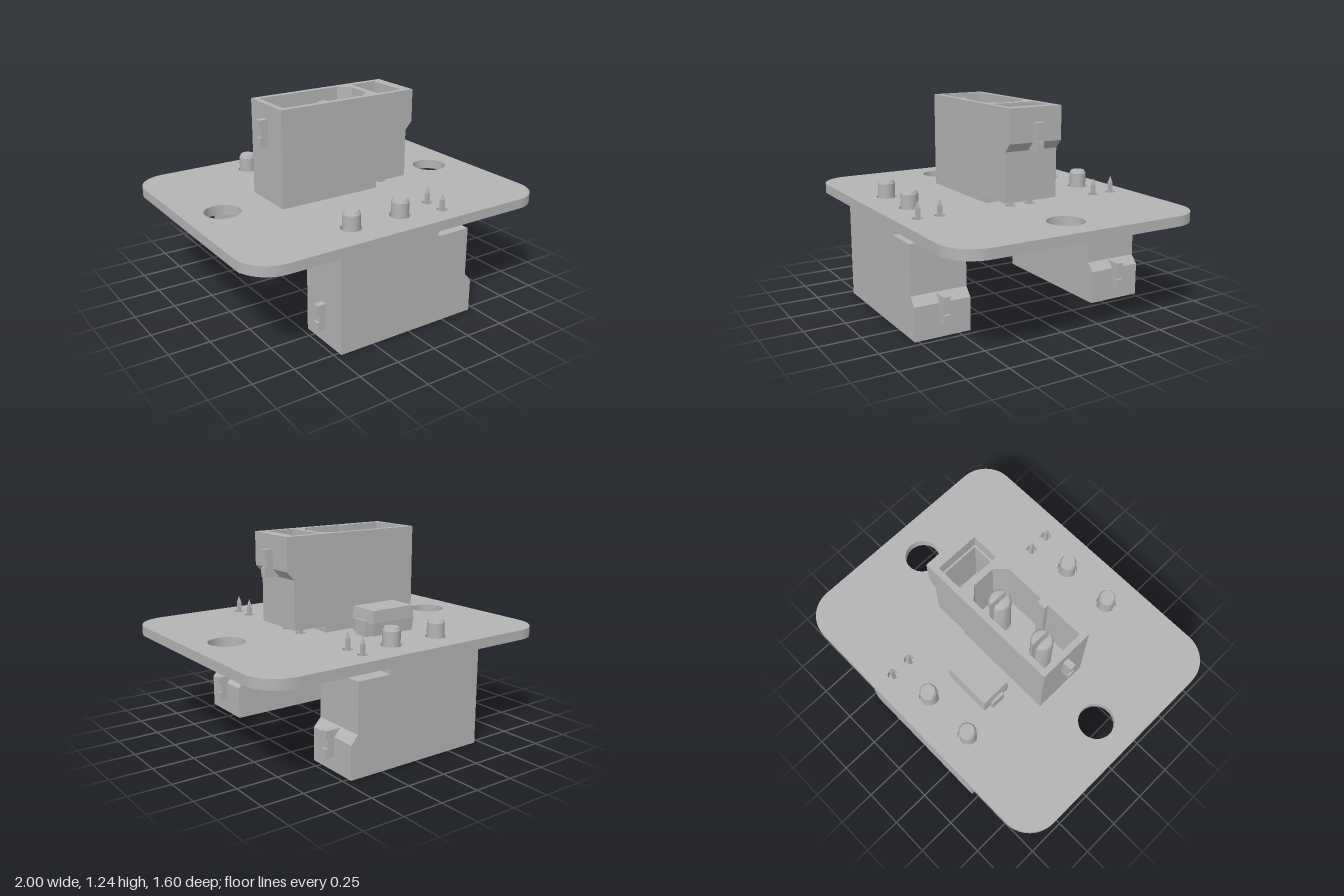
import * as THREE from 'three';
import { toCreasedNormals } from 'three/addons/utils/BufferGeometryUtils.js';

const grey = new THREE.MeshStandardMaterial({ color: 0xb4b4b4 });
grey.name = 'plain grey';

const POWER_X = [-0.285, 0.05];
const SIGNAL_X = 0.305;
const SIGNAL_Z = [-0.067, 0.067];
const ROWS = [-0.6, 0, 0.6];

function part(parent, name, geometry) {
  const mesh = new THREE.Mesh(geometry, grey);
  mesh.name = name;
  parent.add(mesh);
  return mesh;
}

const poly = (pts) => new THREE.Shape(pts.map(([x, y]) => new THREE.Vector2(x, y)));
const rect = (x0, x1, h) => poly([[x0, -h], [x1, -h], [x1, h], [x0, h]]);
const circle = (x, y, r) => new THREE.Path().absarc(x, y, r, 0, Math.PI * 2, true);

// Extrude a plan shape (shape y = -z) upwards between two heights
function layer(shape, y0, y1, holes = [], options = {}) {
  shape.holes.push(...holes);
  const g = new THREE.ExtrudeGeometry(shape, { depth: y1 - y0, bevelEnabled: false, curveSegments: 20, ...options });
  return g.rotateX(-Math.PI / 2).translate(0, y0, 0);
}

function board() {
  const s = new THREE.Shape();
  const q = Math.PI / 2;
  s.absarc(0.8, 0.6, 0.2, 0, q);
  s.absarc(-0.8, 0.6, 0.2, q, 2 * q);
  s.absarc(-0.8, -0.6, 0.2, 2 * q, 3 * q);
  s.absarc(0.8, -0.6, 0.2, 3 * q, 4 * q);
  const holes = [circle(-0.765, 0, 0.108), circle(0.765, 0, 0.108)];
  for (const z of ROWS) {
    for (const x of POWER_X) holes.push(circle(x, z, 0.062));
    for (const dz of SIGNAL_Z) holes.push(circle(SIGNAL_X, z + dz, 0.032));
  }
  return toCreasedNormals(layer(s, 0.59, 0.65, holes), 0.6);
}

// Keyed power socket opening and the small signal opening
const powerHole = () => poly([
  [-0.43, -0.137], [-0.19, -0.137], [-0.19, -0.11], [-0.135, -0.11], [-0.135, -0.137],
  [0.115, -0.137], [0.18, -0.072], [0.18, 0.072], [0.115, 0.137], [-0.43, 0.137]]);
const signalHole = (inset) => rect(0.22 + inset, 0.395 - inset, 0.137 - inset);

function clip(inner, outer) {
  const notch = outer - Math.sign(outer) * 0.015;
  const pts = [[inner, 0.995], [outer, 0.995], [outer, 1.05], [notch, 1.05],
    [notch, 1.1], [outer, 1.1], [outer, 1.155], [inner, 1.155]];
  return new THREE.ExtrudeGeometry(poly(pts), { depth: 0.04, bevelEnabled: false }).translate(0, 0, -0.02);
}

function connector() {
  const g = new THREE.Group();
  const D = 0.173, L = -0.465, R = 0.415, RIM = 0.46;

  // Housing, from foot to rim
  part(g, 'housingFoot', layer(rect(L, 0.195, D), 0.655, 0.695));
  part(g, 'housingFloor', layer(rect(L, R, D), 0.695, 0.8));
  part(g, 'housingWalls', layer(rect(L, R, D), 0.8, 0.99, [powerHole(), signalHole(0.012)]));
  const flare = layer(rect(L, RIM, D), 0.99, 1.04, [powerHole(), signalHole(0.012)]);
  const p = flare.attributes.position;
  for (let i = 0; i < p.count; i++) {
    if (p.getX(i) > 0.45 && p.getY(i) < 1.01) p.setX(i, R);
  }
  flare.computeVertexNormals();
  part(g, 'housingFlare', flare);
  part(g, 'housingNeck', layer(rect(L, RIM, D), 1.04, 1.15, [powerHole(), signalHole(0.012)]));
  part(g, 'housingRim', layer(rect(L, RIM, D), 1.15, 1.24, [powerHole(), signalHole(0)]));

  // Side clips
  part(g, 'leftClip', clip(0.42, 0.515));
  part(g, 'rightClip', clip(-0.46, -0.52));

  // Split contacts inside, bevelled solder pins through the board
  for (const x of POWER_X) {
    for (const turn of [0, Math.PI]) {
      const half = new THREE.Shape().absarc(0, 0, 0.065, -Math.PI / 2 + 0.2, Math.PI / 2 - 0.2);
      const contact = layer(half, 0.76, 1.125, [], {
        bevelEnabled: true, bevelThickness: 0.03, bevelSize: 0.02, bevelOffset: -0.02, bevelSegments: 4,
      });
      const mesh = part(g, 'powerContact', toCreasedNormals(contact, 0.6));
      mesh.position.x = x;
      mesh.rotation.y = turn;
    }
    const profile = [[0, 0.485], [0.042, 0.485], [0.052, 0.505], [0.052, 0.7]]
      .map(([r, y]) => new THREE.Vector2(r, y));
    const pin = toCreasedNormals(new THREE.LatheGeometry(profile, 28), 0.4);
    part(g, 'powerSolderPin', pin).position.x = x;
  }

  // Square signal pins with pointed ends
  for (const z of SIGNAL_Z) {
    part(g, 'signalPin', new THREE.BoxGeometry(0.022, 0.47, 0.022)).position.set(SIGNAL_X, 0.765, z);
    for (const [y, flip] of [[1.02, 0], [0.51, Math.PI]]) {
      const tip = new THREE.ConeGeometry(0.0155, 0.045, 4).rotateY(Math.PI / 4).toNonIndexed();
      tip.computeVertexNormals();
      const mesh = part(g, 'signalPinTip', tip);
      mesh.position.set(SIGNAL_X, y, z);
      mesh.rotation.x = flip;
    }
  }
  return g;
}

// Small two-lead component with drafted sides
function component() {
  const g = new THREE.Group();
  let body = new THREE.BoxGeometry(0.31, 0.15, 0.195, 1, 2, 1).toNonIndexed();
  const p = body.attributes.position;
  for (let i = 0; i < p.count; i++) {
    if (Math.abs(p.getY(i)) > 0.01) {
      p.setX(i, p.getX(i) * 0.95);
      p.setZ(i, p.getZ(i) * 0.95);
    }
  }
  body.computeVertexNormals();
  part(g, 'componentBody', body).position.y = 0.735;
  for (const s of [-1, 1]) {
    part(g, 'componentLead', new THREE.BoxGeometry(0.03, 0.095, 0.095)).position.set(s * 0.155, 0.6975, 0);
    part(g, 'componentFoot', new THREE.BoxGeometry(0.08, 0.012, 0.095)).position.set(s * 0.13, 0.656, 0);
  }
  g.position.set(-0.105, 0, -0.335);
  return g;
}

export function createModel() {
  const model = new THREE.Group();
  model.name = 'connectorBoard';
  part(model, 'board', board());

  const top = connector();
  top.name = 'topConnector';
  model.add(top);

  // Two connectors hang upside down below the board
  for (const z of [-0.6, 0.6]) {
    const c = connector();
    c.name = z > 0 ? 'frontLowerConnector' : 'backLowerConnector';
    c.rotation.x = Math.PI;
    c.position.set(0, 1.24, z);
    model.add(c);
  }

  const chip = component();
  chip.name = 'component';
  model.add(chip);
  return model;
}
